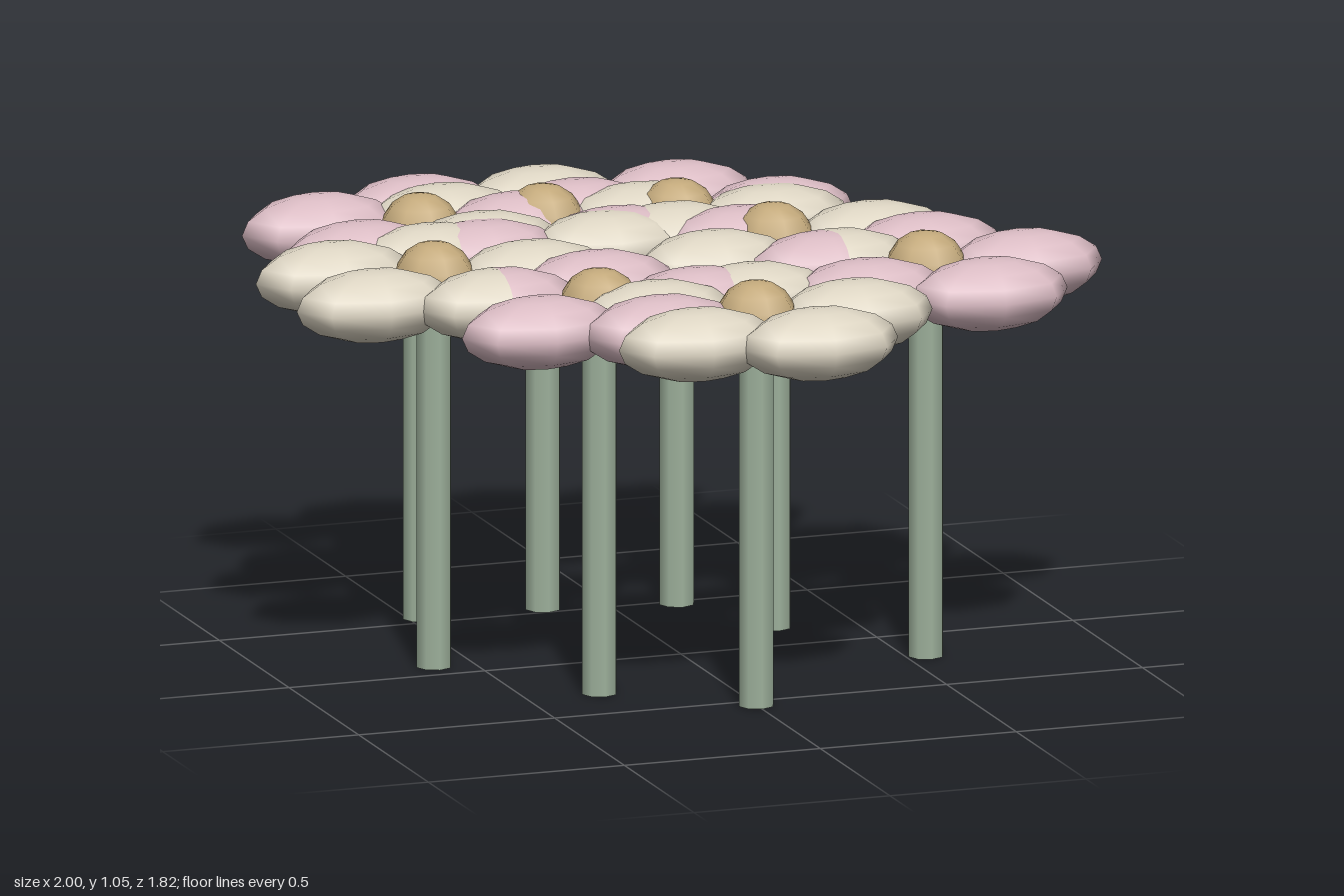
import * as THREE from 'three';

const mat = (name, color) => {
  const m = new THREE.MeshStandardMaterial({ color });
  m.name = name;
  return m;
};

export function createModel() {
  const cream = mat('cream', 0xddd5c3);
  const pink = mat('pink', 0xdbbcc4);
  const gold = mat('gold', 0xc4aa7c);
  const green = mat('sage green', 0x9db09b);

  const STEM_TOP = 0.945, PETAL_DISTANCE = 0.25, PETALS = 5;

  // Shared low-poly shapes
  const stemGeo = new THREE.CylinderGeometry(0.044, 0.044, STEM_TOP, 8);
  const heartGeo = new THREE.SphereGeometry(0.105, 8, 8);
  const petalGeo = new THREE.SphereGeometry(1, 8, 8).scale(0.2, 0.088, 0.125);

  const add = (parent, name, geo, material, x, y, z) => {
    const mesh = new THREE.Mesh(geo, material);
    mesh.name = name;
    mesh.position.set(x, y, z);
    parent.add(mesh);
  };

  // One flower: stem, round heart and a ring of petals all lying along x
  const makeFlower = (petalMat) => {
    const flower = new THREE.Group();
    flower.name = 'flower';
    add(flower, 'stem', stemGeo, green, 0, STEM_TOP / 2, 0);
    add(flower, 'flowerHeart', heartGeo, gold, 0, 0.948, 0);
    for (let i = 0; i < PETALS; i++) {
      const a = (i / PETALS) * Math.PI * 2;
      add(flower, 'petal', petalGeo, petalMat,
        Math.cos(a) * PETAL_DISTANCE, 0.945, Math.sin(a) * PETAL_DISTANCE);
    }
    return flower;
  };

  // Flowers in a loose ring, petal colours alternating
  const spots = [
    [-0.47, -0.55], [-0.16, -0.54], [0.16, -0.48], [0.30, -0.18],
    [0.55, 0.21], [0, 0.54], [-0.315, 0.30], [-0.60, -0.085],
  ];
  const group = new THREE.Group();
  group.name = 'flowerBed';
  spots.forEach(([x, z], i) => {
    const flower = makeFlower(i % 2 ? cream : pink);
    flower.position.set(x, 0, z);
    group.add(flower);
  });
  return group;
}
